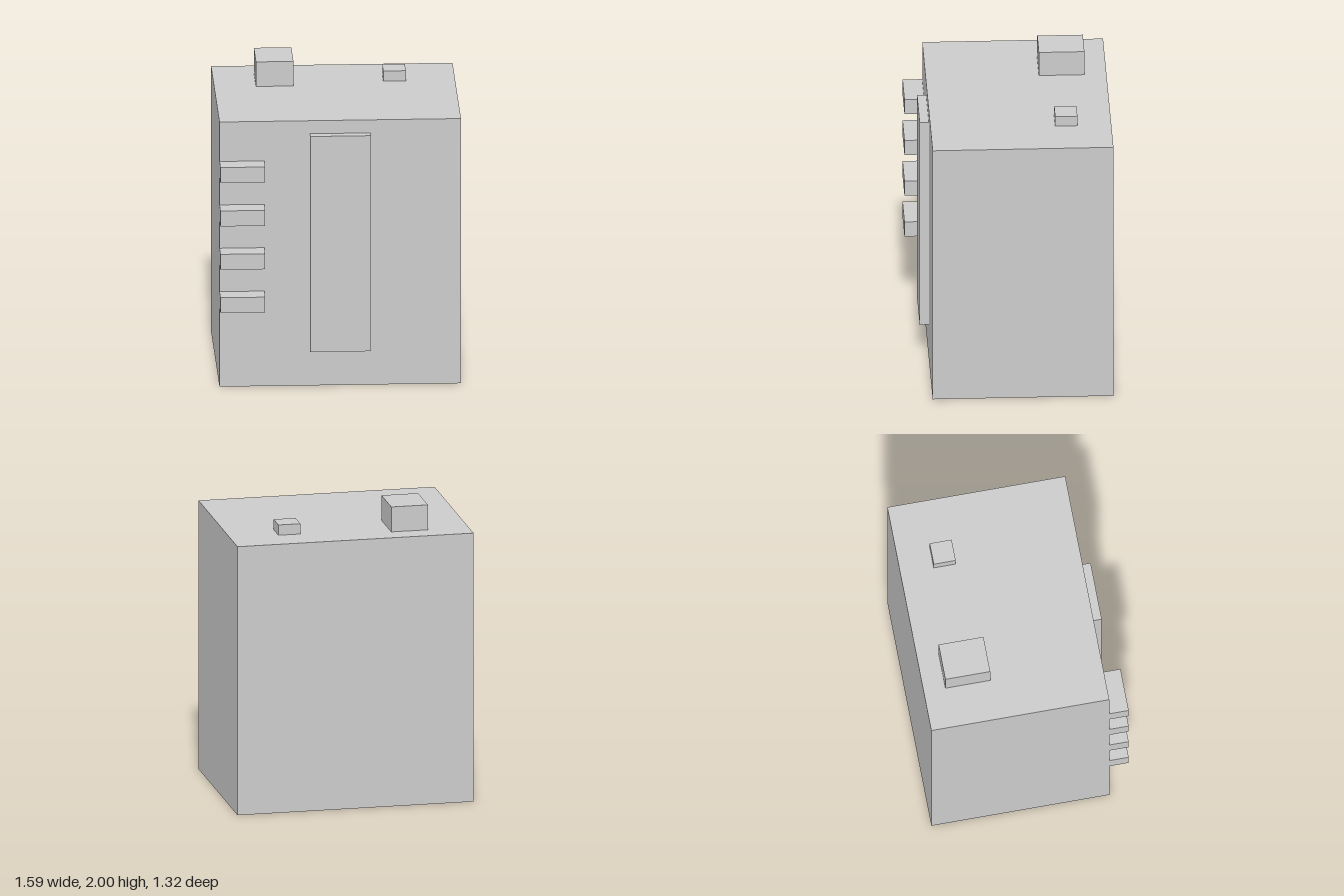
import * as THREE from 'three';

const grey = new THREE.MeshStandardMaterial({ color: 0xcccccc });
const shell = new THREE.MeshStandardMaterial({ color: 0xcccccc, side: THREE.DoubleSide });

// Box between two limits on each axis
function block(name, [x0, x1], [y0, y1], [z0, z1], material = grey) {
  const mesh = new THREE.Mesh(new THREE.BoxGeometry(x1 - x0, y1 - y0, z1 - z0), material);
  mesh.position.set((x0 + x1) / 2, (y0 + y1) / 2, (z0 + z1) / 2);
  mesh.name = name;
  return mesh;
}

export function createModel() {
  const model = new THREE.Group();
  model.name = 'casing';
  const front = 0.53;
  const top = 1.83;

  // Hollow body with an open underside
  const body = block('body', [-0.795, 0.795], [0, top], [-0.66, front], shell);
  const faces = Array.from(body.geometry.index.array);
  faces.splice(18, 6); // drop the bottom face
  body.geometry.setIndex(faces);
  body.geometry.clearGroups();
  model.add(body);

  // Tall raised panel on the front
  model.add(block('frontPanel', [-0.2, 0.2], [0.25, 1.74], [front, 0.59]));

  // Column of bars at the front edge
  for (let i = 0; i < 4; i++) {
    const y = 0.55 + i * 0.3;
    model.add(block(`frontBar${i + 1}`, [-0.795, -0.5], [y, y + 0.107], [front, 0.66]));
  }

  // Blocks on the roof
  model.add(block('largeRoofBlock', [-0.52, -0.273], [top, 2], [-0.515, -0.215]));
  model.add(block('smallRoofBlock', [0.322, 0.47], [top, 1.9], [-0.437, -0.29]));

  // Raised details on the inside of the front wall
  model.add(block('innerCentreBlock', [-0.09, 0.09], [0.25, 0.49], [front - 0.06, front]));
  model.add(block('innerCrossBar', [-0.46, 0.46], [0.64, 0.79], [front - 0.03, front]));
  for (const side of [-1, 1]) {
    const x = side * 0.48;
    model.add(block(side > 0 ? 'innerLeftBlock' : 'innerRightBlock',
      [x - 0.07, x + 0.07], [0.36, 0.49], [front - 0.03, front]));
  }
  return model;
}
